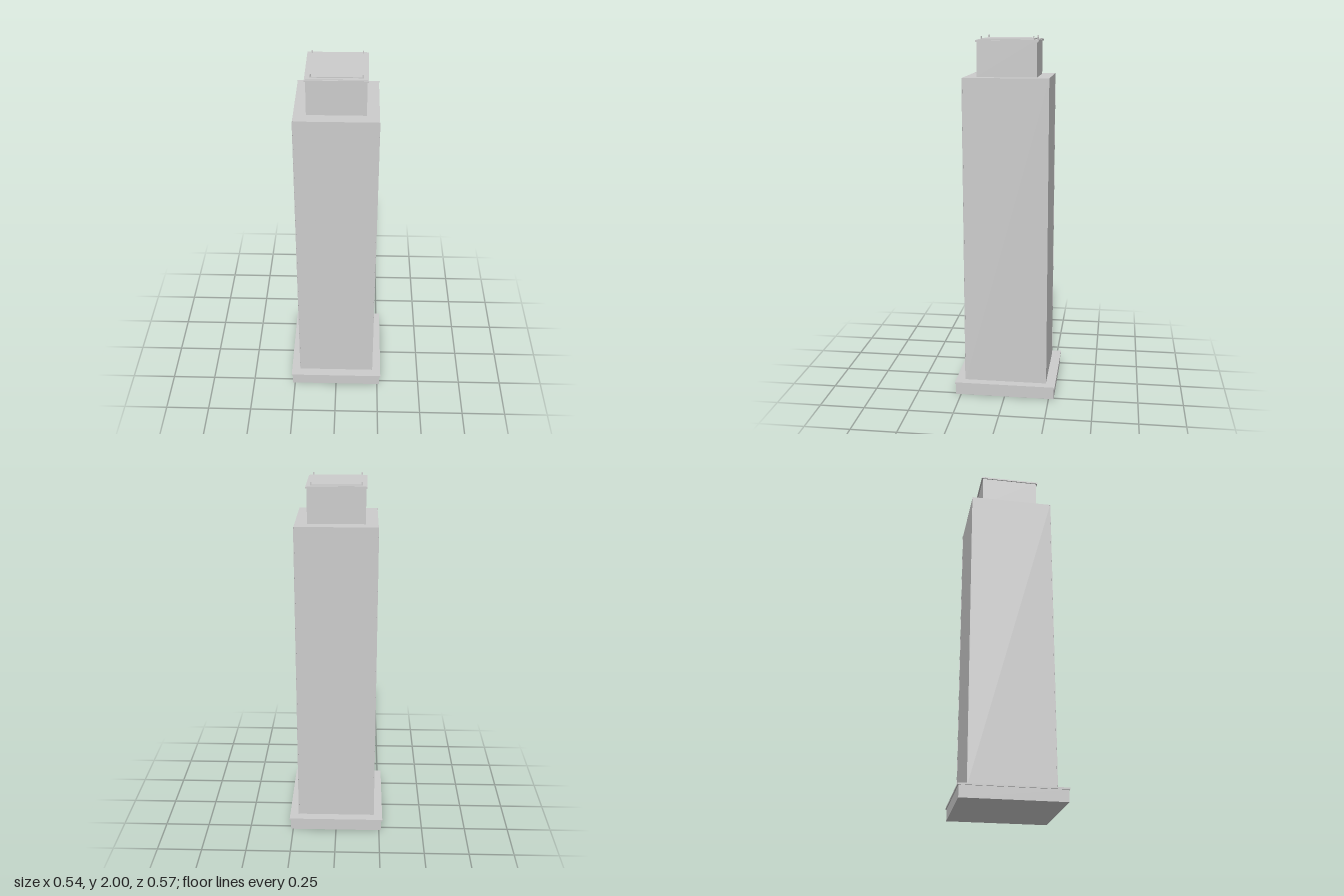
import * as THREE from 'three';

export function createModel() {
  const model = new THREE.Group();
  model.name = 'tower';
  const concrete = new THREE.MeshStandardMaterial({ color: 0xcccccc });
  concrete.name = 'pale grey concrete';

  // Box given by half width, half depth, bottom and top heights
  function block(name, hx, hz, y0, y1, x = 0, z = 0) {
    const mesh = new THREE.Mesh(new THREE.BoxGeometry(hx * 2, y1 - y0, hz * 2), concrete);
    mesh.name = name;
    mesh.position.set(x, (y0 + y1) / 2, z);
    model.add(mesh);
  }

  // Repeats a square post at the four corners
  function corners(name, h, x, z, y0, y1) {
    for (const sx of [-1, 1]) {
      for (const sz of [-1, 1]) block(name, h, h, y0, y1, sx * x, sz * z);
    }
  }

  // Plinth with a slightly overhanging top slab
  block('plinth', 0.263, 0.279, 0, 0.064);
  block('plinthSlab', 0.269, 0.284, 0.064, 0.073);

  // Main shaft with slim corner trims
  block('shaft', 0.2185, 0.231, 0.073, 1.786);
  corners('cornerTrim', 0.002, 0.218, 0.2305, 0.073, 1.786);

  // Set-back penthouse and its cornice
  block('penthouse', 0.153, 0.1615, 1.786, 1.982);
  block('cornice', 0.159, 0.169, 1.97, 1.979);

  // Raised landing pad with corner posts
  block('landingPad', 0.135, 0.143, 1.982, 1.987);
  corners('padPost', 0.0035, 0.1315, 0.1395, 1.987, 2);

  return model;
}
